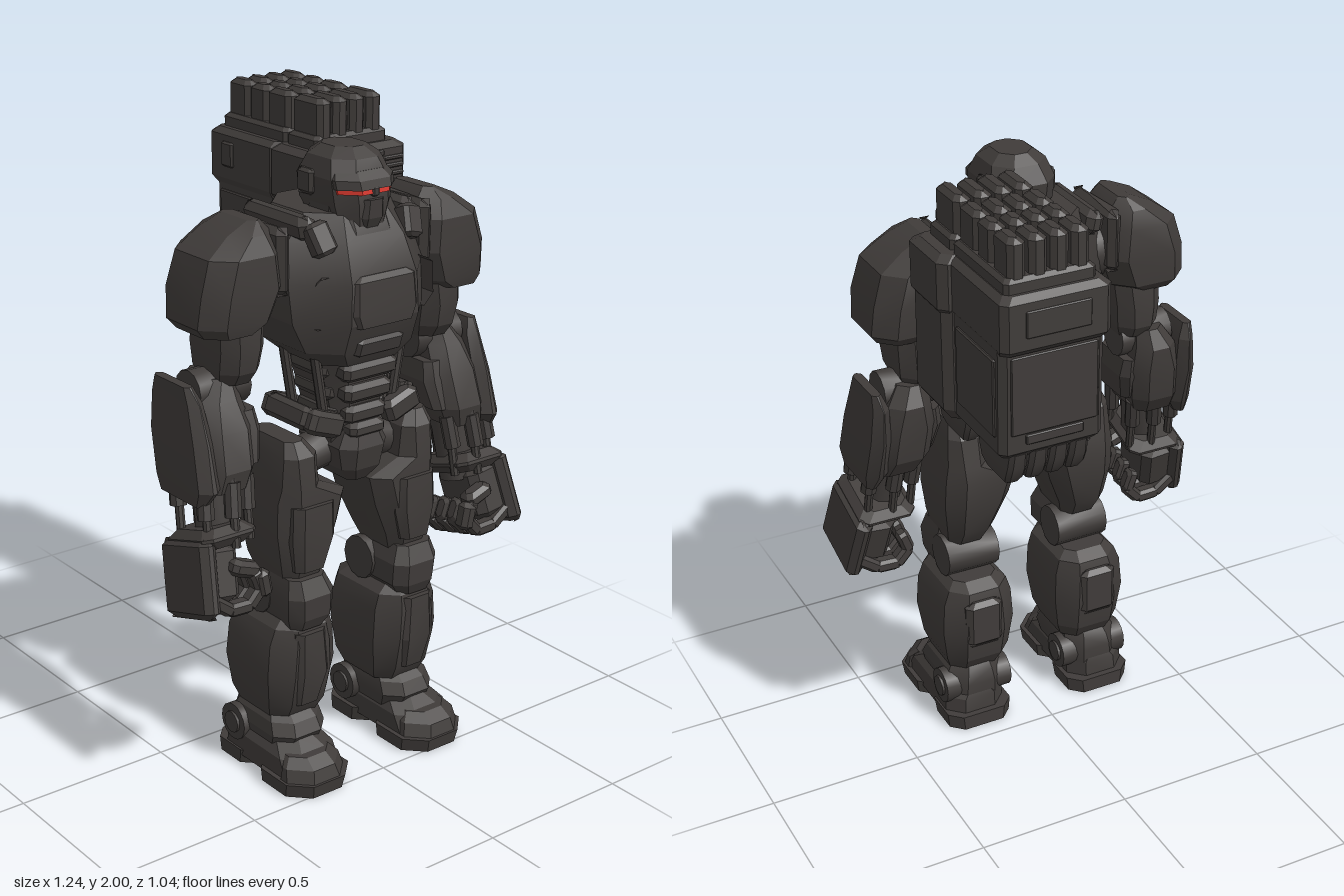
import * as THREE from 'three';
import { toCreasedNormals } from 'three/addons/utils/BufferGeometryUtils.js';

const armour = new THREE.MeshStandardMaterial({ color: 0x403c3a });
armour.name = 'charcoal armour';
const glow = new THREE.MeshStandardMaterial({ color: 0xd8382e });
glow.name = 'signal red';

// Solid through chamfered rectangles, bottom to top: [y, x0, x1, z0, z1, chamfer]
function loft(rows) {
  const pos = [], idx = [], top = (rows.length - 1) * 8;
  for (const [y, x0, x1, z0, z1, c] of rows) {
    const ring = [[x1, z1 - c], [x1, z0 + c], [x1 - c, z0], [x0 + c, z0],
      [x0, z0 + c], [x0, z1 - c], [x0 + c, z1], [x1 - c, z1]];
    for (const [x, z] of ring) pos.push(x, y, z);
  }
  for (let r = 0; r < top; r += 8) for (let j = 0; j < 8; j++) {
    const k = (j + 1) % 8;
    idx.push(r + j, r + k, r + 8 + k, r + j, r + 8 + k, r + 8 + j);
  }
  for (let j = 1; j < 7; j++) idx.push(0, j + 1, j, top, top + j, top + j + 1);
  const g = new THREE.BufferGeometry();
  g.setAttribute('position', new THREE.Float32BufferAttribute(pos, 3));
  g.setIndex(idx);
  return toCreasedNormals(g, 0.35);
}

// Symmetric loft about x = 0: [y, halfWidth, z0, z1, chamfer]
const centred = rows => loft(rows.map(([y, w, z0, z1, c]) => [y, -w, w, z0, z1, c]));

// Bevelled box from centre, size and rotation
function box(x, y, z, w, h, d, b = 0.012, rx = 0, ry = 0, rz = 0) {
  const a = w / 2, c = d / 2, t = h / 2;
  const g = loft([[-t, b - a, a - b, b - c, c - b, b], [b - t, -a, a, -c, c, b],
    [t - b, -a, a, -c, c, b], [t, b - a, a - b, b - c, c - b, b]]);
  return g.applyMatrix4(new THREE.Matrix4().makeRotationFromEuler(new THREE.Euler(rx, ry, rz))).translate(x, y, z);
}

// Cylinder between two points
function rod(a, b, r, sides = 10, r2 = r) {
  const p = new THREE.Vector3(...a), d = new THREE.Vector3(...b).sub(p);
  const g = new THREE.CylinderGeometry(r2, r, d.length(), sides);
  g.applyQuaternion(new THREE.Quaternion().setFromUnitVectors(new THREE.Vector3(0, 1, 0), d.clone().normalize()));
  return toCreasedNormals(g.translate(p.x + d.x / 2, p.y + d.y / 2, p.z + d.z / 2), 0.7);
}

// Reflected copy in x with the triangle order restored
function mirror(geo) {
  const g = geo.clone().scale(-1, 1, 1);
  for (const attr of Object.values(g.attributes)) {
    const a = attr.array, n = attr.itemSize;
    for (let i = 0; i < a.length; i += 3 * n) for (let k = 0; k < n; k++) {
      [a[i + n + k], a[i + 2 * n + k]] = [a[i + 2 * n + k], a[i + n + k]];
    }
  }
  return g;
}

export function createModel() {
  const model = new THREE.Group();
  model.name = 'armouredRobot';
  const group = name => {
    const g = new THREE.Group();
    g.name = name;
    model.add(g);
    return g;
  };
  const put = (parent, name, geo, mat = armour) => {
    const m = new THREE.Mesh(geo, mat);
    m.name = name;
    parent.add(m);
  };
  const pair = ([left, right], name, geo) => {
    put(left, name, geo);
    put(right, name, mirror(geo));
  };

  // Head
  const head = group('head');
  put(head, 'neck', rod([0, 1.64, 0.23], [0, 1.78, 0.25], 0.075));
  put(head, 'helmet', centred([[1.67, 0.05, 0.27, 0.37, 0.025], [1.72, 0.082, 0.19, 0.4, 0.04],
    [1.79, 0.103, 0.145, 0.41, 0.05], [1.86, 0.108, 0.14, 0.4, 0.05],
    [1.915, 0.09, 0.165, 0.375, 0.05], [1.943, 0.055, 0.2, 0.335, 0.035]]));
  put(head, 'visor', centred([[1.822, 0.098, 0.31, 0.419, 0.05], [1.838, 0.1, 0.31, 0.417, 0.05]]), glow);
  put(head, 'brow', centred([[1.836, 0.104, 0.29, 0.422, 0.05], [1.862, 0.106, 0.28, 0.415, 0.05],
    [1.885, 0.09, 0.28, 0.39, 0.045]]));
  put(head, 'noseGuard', box(0, 1.828, 0.413, 0.025, 0.03, 0.02, 0.005));
  put(head, 'mouthGuard', centred([[1.68, 0.035, 0.3, 0.385, 0.02], [1.75, 0.05, 0.3, 0.418, 0.025],
    [1.805, 0.042, 0.3, 0.422, 0.02]]));
  pair([head, head], 'earGuard', box(0.107, 1.84, 0.235, 0.025, 0.075, 0.07, 0.01));
  pair([head, head], 'jawPlate', box(0.088, 1.75, 0.28, 0.025, 0.1, 0.11, 0.01, 0.2));

  // Torso
  const torso = group('torso'), both = [torso, torso];
  put(torso, 'chest', centred([[1.32, 0.15, 0.12, 0.41, 0.06], [1.37, 0.205, 0.06, 0.44, 0.08],
    [1.46, 0.245, 0.025, 0.47, 0.12], [1.58, 0.25, 0.01, 0.465, 0.13],
    [1.69, 0.225, 0.02, 0.42, 0.12], [1.765, 0.16, 0.06, 0.37, 0.08]]));
  put(torso, 'chestPlate', centred([[1.45, 0.2, 0.3, 0.48, 0.11], [1.49, 0.225, 0.3, 0.482, 0.12],
    [1.585, 0.22, 0.3, 0.474, 0.12], [1.6, 0.2, 0.3, 0.46, 0.12]]));
  put(torso, 'chestLowerPlate', box(0, 1.385, 0.425, 0.18, 0.07, 0.06, 0.015, 0.3));
  put(torso, 'neckCollar', centred([[1.66, 0.15, 0.09, 0.425, 0.08], [1.72, 0.13, 0.1, 0.405, 0.07],
    [1.755, 0.12, 0.11, 0.385, 0.06]]));
  put(torso, 'backPlate', centred([[1.4, 0.1, 0.02, 0.15, 0.03], [1.56, 0.13, 0, 0.15, 0.03],
    [1.7, 0.1, 0.02, 0.15, 0.03]]));
  pair(both, 'shoulderStrap', box(0.185, 1.73, 0.21, 0.06, 0.075, 0.3, 0.02, 0, 0, -0.2));
  pair(both, 'collarTab', box(0.165, 1.705, 0.37, 0.07, 0.1, 0.06, 0.012, -0.4, 0.15, -0.2));
  pair(both, 'shoulderJoint', rod([0.18, 1.6, 0.21], [0.38, 1.6, 0.21], 0.1, 12));
  put(torso, 'waist', centred([[1.04, 0.085, 0.18, 0.36, 0.03], [1.16, 0.095, 0.16, 0.38, 0.04],
    [1.26, 0.12, 0.14, 0.39, 0.05], [1.34, 0.14, 0.13, 0.4, 0.05]]));
  [[1.295, 0.2], [1.225, 0.175], [1.155, 0.15]].forEach(([y, w], i) => {
    put(torso, 'abdomenPlate', box(0, y, 0.385 - i * 0.01, w, 0.058, 0.07, 0.015, 0.1));
    put(torso, 'spinePlate', box(0, y, 0.15 + i * 0.01, w * 0.6, 0.055, 0.06, 0.015));
    pair(both, 'sidePlate', box(w * 0.56, y, 0.27, 0.05, 0.052, 0.17, 0.014, 0, 0, 0.2));
  });
  for (const z of [0.2, 0.35]) pair(both, 'waistPiston', rod([0.165, 1.36, z], [0.13, 1.16, z], 0.016, 8));
  put(torso, 'pelvis', centred([[0.935, 0.04, 0.2, 0.37, 0.02], [0.98, 0.075, 0.16, 0.4, 0.03],
    [1.05, 0.09, 0.14, 0.415, 0.04], [1.1, 0.065, 0.17, 0.4, 0.03]]));
  put(torso, 'beltBuckle', box(0, 1.105, 0.375, 0.13, 0.05, 0.07, 0.015));
  for (const z of [0.37, 0.17]) pair(both, 'hipGuard', box(0.145, 1.145, z, 0.13, 0.075, 0.06, 0.015, 0, 0, 0.35));
  pair(both, 'hipSideGuard', box(0.195, 1.165, 0.27, 0.045, 0.07, 0.2, 0.015, 0, 0, 0.35));
  pair(both, 'hipJoint', rod([0.05, 1.03, 0.27], [0.22, 1.0, 0.27], 0.06, 12));

  // Arms
  const arms = [group('leftArm'), group('rightArm')];
  pair(arms, 'shoulderPad', loft([[1.455, 0.33, 0.51, 0.1, 0.34, 0.05], [1.485, 0.275, 0.533, 0.075, 0.35, 0.06],
    [1.58, 0.24, 0.525, 0.065, 0.36, 0.06], [1.68, 0.25, 0.495, 0.07, 0.355, 0.06],
    [1.735, 0.275, 0.42, 0.09, 0.33, 0.05], [1.768, 0.305, 0.345, 0.13, 0.29, 0.018]]));
  pair(arms, 'shoulderRim', box(0.265, 1.645, 0.215, 0.045, 0.2, 0.27, 0.02));
  pair(arms, 'upperArm', loft([[1.29, 0.32, 0.43, 0.12, 0.28, 0.03], [1.33, 0.305, 0.445, 0.095, 0.31, 0.04],
    [1.4, 0.3, 0.45, 0.09, 0.325, 0.04], [1.5, 0.29, 0.45, 0.1, 0.32, 0.04]]));
  pair(arms, 'elbow', rod([0.32, 1.27, 0.19], [0.5, 1.27, 0.19], 0.065, 12));
  pair(arms, 'forearm', loft([[1, 0.385, 0.53, 0.13, 0.35, 0.03], [1.06, 0.36, 0.53, 0.09, 0.36, 0.04],
    [1.17, 0.35, 0.52, 0.07, 0.33, 0.04], [1.25, 0.36, 0.5, 0.07, 0.29, 0.04], [1.31, 0.37, 0.46, 0.1, 0.26, 0.03]]));
  pair(arms, 'forearmOuterPlate', loft([[0.97, 0.53, 0.57, 0.13, 0.34, 0.015], [1.02, 0.5, 0.575, 0.1, 0.375, 0.03],
    [1.15, 0.5, 0.567, 0.065, 0.34, 0.03], [1.26, 0.505, 0.557, 0.065, 0.295, 0.025],
    [1.31, 0.525, 0.555, 0.09, 0.26, 0.012]]));
  pair(arms, 'forearmInnerPlate', loft([[1.06, 0.335, 0.42, 0.14, 0.33, 0.02], [1.15, 0.315, 0.42, 0.11, 0.31, 0.025],
    [1.21, 0.325, 0.42, 0.11, 0.29, 0.02]]));
  pair(arms, 'forearmCore', rod([0.475, 0.8, 0.28], [0.45, 1.04, 0.24], 0.06, 10));
  for (const [x, z] of [[0.4, 0.19], [0.4, 0.33], [0.47, 0.36], [0.545, 0.33], [0.545, 0.19], [0.47, 0.17]]) {
    pair(arms, 'pistonRod', rod([x, 0.84, z + 0.02], [x - 0.01, 1.07, z - 0.02], 0.014, 8));
    pair(arms, 'pistonSleeve', rod([x, 0.93, z + 0.005], [x - 0.01, 1.03, z - 0.015], 0.026, 8));
  }
  pair(arms, 'wristCuff', box(0.487, 0.852, 0.28, 0.19, 0.06, 0.23, 0.025, -0.3));
  pair(arms, 'palm', box(0.52, 0.745, 0.3, 0.12, 0.18, 0.19, 0.025, -0.3, 0, 0.12));
  pair(arms, 'handBackPlate', box(0.58, 0.745, 0.305, 0.055, 0.235, 0.24, 0.02, -0.3, 0, 0.12));
  for (let i = 0; i < 4; i++) {
    const z = 0.235 + i * 0.055, y = i * 0.014;
    const path = [[0.575, 0.665 + y], [0.515, 0.62 + y], [0.445, 0.617 + y], [0.405, 0.66 + y], [0.425, 0.715 + y]];
    for (let j = 0; j < 4; j++) {
      const [a, b] = [path[j], path[j + 1]], dx = b[0] - a[0], dy = b[1] - a[1];
      pair(arms, 'fingerSegment', box((a[0] + b[0]) / 2, (a[1] + b[1]) / 2, z,
        Math.hypot(dx, dy) + 0.018, 0.042, 0.048, 0.01, 0, 0, Math.atan2(dy, dx)));
    }
  }
  pair(arms, 'thumbBase', box(0.455, 0.775, 0.39, 0.1, 0.05, 0.06, 0.014, 0, 0, 0.35));
  pair(arms, 'thumbTip', box(0.4, 0.72, 0.405, 0.05, 0.09, 0.055, 0.014, 0, 0, -0.2));

  // Legs
  const legs = [group('leftLeg'), group('rightLeg')];
  pair(legs, 'thigh', loft([[0.65, 0.14, 0.27, 0.18, 0.37, 0.03], [0.71, 0.12, 0.285, 0.14, 0.39, 0.04],
    [0.82, 0.075, 0.3, 0.11, 0.4, 0.05], [0.915, 0.05, 0.298, 0.1, 0.4, 0.05],
    [0.965, 0.155, 0.29, 0.11, 0.4, 0.04], [1.06, 0.165, 0.283, 0.13, 0.39, 0.03], [1.105, 0.2, 0.268, 0.17, 0.36, 0.02]]));
  pair(legs, 'thighFrontPlate', loft([[0.7, 0.15, 0.26, 0.33, 0.405, 0.02], [0.8, 0.12, 0.275, 0.33, 0.418, 0.025],
    [0.91, 0.12, 0.27, 0.33, 0.415, 0.025]]));
  pair(legs, 'kneeJoint', rod([0.11, 0.595, 0.23], [0.29, 0.595, 0.23], 0.07, 12));
  pair(legs, 'kneePlate', loft([[0.51, 0.15, 0.27, 0.24, 0.4, 0.025], [0.55, 0.12, 0.285, 0.22, 0.42, 0.035],
    [0.62, 0.12, 0.29, 0.22, 0.425, 0.035], [0.675, 0.145, 0.275, 0.25, 0.4, 0.025]]));
  pair(legs, 'shin', loft([[0.2, 0.115, 0.3, 0.12, 0.35, 0.04], [0.25, 0.095, 0.318, 0.09, 0.38, 0.05],
    [0.36, 0.08, 0.333, 0.07, 0.405, 0.06], [0.46, 0.085, 0.325, 0.075, 0.405, 0.06],
    [0.51, 0.1, 0.305, 0.09, 0.395, 0.05], [0.535, 0.13, 0.28, 0.13, 0.37, 0.03]]));
  pair(legs, 'shinGuard', loft([[0.25, 0.16, 0.26, 0.33, 0.39, 0.02], [0.36, 0.14, 0.275, 0.33, 0.42, 0.025],
    [0.5, 0.155, 0.265, 0.33, 0.415, 0.02]]));
  pair(legs, 'calfPlate', box(0.21, 0.4, 0.085, 0.13, 0.17, 0.05, 0.018));
  pair(legs, 'ankleCuff', loft([[0.1, 0.13, 0.31, 0.09, 0.37, 0.04], [0.15, 0.12, 0.318, 0.09, 0.4, 0.05],
    [0.19, 0.125, 0.31, 0.1, 0.38, 0.05], [0.22, 0.14, 0.29, 0.12, 0.34, 0.04]]));
  pair(legs, 'ankleDisc', rod([0.1, 0.13, 0.165], [0.335, 0.13, 0.165], 0.06, 16));
  pair(legs, 'ankleHub', rod([0.092, 0.13, 0.165], [0.343, 0.13, 0.165], 0.035, 12));
  pair(legs, 'toeSole', loft([[0, 0.115, 0.345, 0.27, 0.51, 0.06], [0.045, 0.11, 0.35, 0.27, 0.52, 0.06]]));
  pair(legs, 'heelSole', loft([[0, 0.115, 0.335, 0.06, 0.24, 0.04], [0.05, 0.11, 0.34, 0.06, 0.25, 0.04]]));
  pair(legs, 'footBody', loft([[0.03, 0.125, 0.335, 0.08, 0.49, 0.05], [0.1, 0.125, 0.33, 0.085, 0.45, 0.05],
    [0.14, 0.15, 0.3, 0.1, 0.39, 0.05]]));
  pair(legs, 'toeCap', loft([[0.045, 0.125, 0.342, 0.36, 0.512, 0.06], [0.085, 0.135, 0.335, 0.36, 0.5, 0.06],
    [0.112, 0.16, 0.31, 0.36, 0.46, 0.04]]));

  // Launcher pack behind the left shoulder
  const pack = group('launcherPack');
  put(pack, 'rearBody', loft([[1.33, 0.11, 0.39, -0.46, -0.17, 0.02], [1.36, 0.09, 0.415, -0.49, -0.17, 0.02],
    [1.69, 0.09, 0.415, -0.495, -0.17, 0.02]]));
  put(pack, 'rearBand', loft([[1.67, 0.09, 0.41, -0.5, -0.17, 0.02], [1.69, 0.08, 0.42, -0.52, -0.17, 0.02],
    [1.83, 0.08, 0.42, -0.52, -0.17, 0.02], [1.848, 0.1, 0.4, -0.5, -0.17, 0.02]]));
  put(pack, 'frontBody', loft([[1.335, 0.11, 0.42, -0.19, 0.01, 0.02], [1.37, 0.085, 0.445, -0.2, 0.03, 0.025],
    [1.7, 0.085, 0.445, -0.2, 0.025, 0.025]]));
  put(pack, 'frontBand', loft([[1.67, 0.09, 0.44, -0.19, 0.02, 0.02], [1.69, 0.075, 0.455, -0.2, 0.03, 0.025],
    [1.83, 0.075, 0.455, -0.2, 0.03, 0.025], [1.848, 0.1, 0.43, -0.18, 0.005, 0.025]]));
  put(pack, 'glowPanel', box(0.22, 1.765, 0.031, 0.2, 0.095, 0.008, 0.002), glow);
  for (let i = 0; i < 6; i++) put(pack, 'glowRib', box(0.14 + i * 0.033, 1.767, 0.036, 0.022, 0.085, 0.008, 0.003), glow);
  for (const y of [1.71, 1.82]) put(pack, 'panelFrame', box(0.225, y, 0.033, 0.25, 0.018, 0.016, 0.004));
  for (let i = 0; i < 4; i++) put(pack, 'ventSlat', box(0.39, 1.725 + i * 0.025, 0.032, 0.08, 0.014, 0.014, 0.004));
  put(pack, 'rearHatch', box(0.25, 1.765, -0.52, 0.2, 0.08, 0.01, 0.003));
  put(pack, 'rearPanel', box(0.25, 1.54, -0.493, 0.27, 0.24, 0.01, 0.003));
  put(pack, 'rearLatch', box(0.25, 1.4, -0.494, 0.18, 0.03, 0.012, 0.003));
  for (const x of [0.088, 0.417]) put(pack, 'sidePanel', box(x, 1.53, -0.34, 0.012, 0.24, 0.24, 0.004));
  put(pack, 'sideGrip', box(0.08, 1.77, -0.41, 0.018, 0.08, 0.06, 0.006));
  put(pack, 'mount', box(0.14, 1.6, 0.05, 0.12, 0.3, 0.08, 0.02));

  // Launch tubes above and nozzles below, in matching columns
  put(pack, 'rearTubeBase', box(0.257, 1.86, -0.325, 0.28, 0.06, 0.33));
  put(pack, 'frontTubeBase', box(0.257, 1.86, -0.08, 0.28, 0.06, 0.15));
  for (const x of [0.16, 0.223, 0.288, 0.353]) {
    for (const [z, d] of [[-0.43, 0.105], [-0.325, 0.09], [-0.222, 0.11], [-0.08, 0.14]]) {
      put(pack, 'launchTube', box(x, 1.92, z, 0.055, 0.16, d, 0.015));
    }
    for (const [z0, z1] of [[-0.21, 0.015], [-0.485, -0.26]]) {
      put(pack, 'nozzle', loft([[1.24, x - 0.022, x + 0.022, z0 + 0.045, z1 - 0.045, 0.01],
        [1.265, x - 0.03, x + 0.03, z0 + 0.025, z1 - 0.025, 0.012], [1.3, x - 0.03, x + 0.03, z0 + 0.01, z1 - 0.01, 0.012],
        [1.35, x - 0.028, x + 0.028, z0, z1, 0.012]]));
    }
  }
  return model;
}
